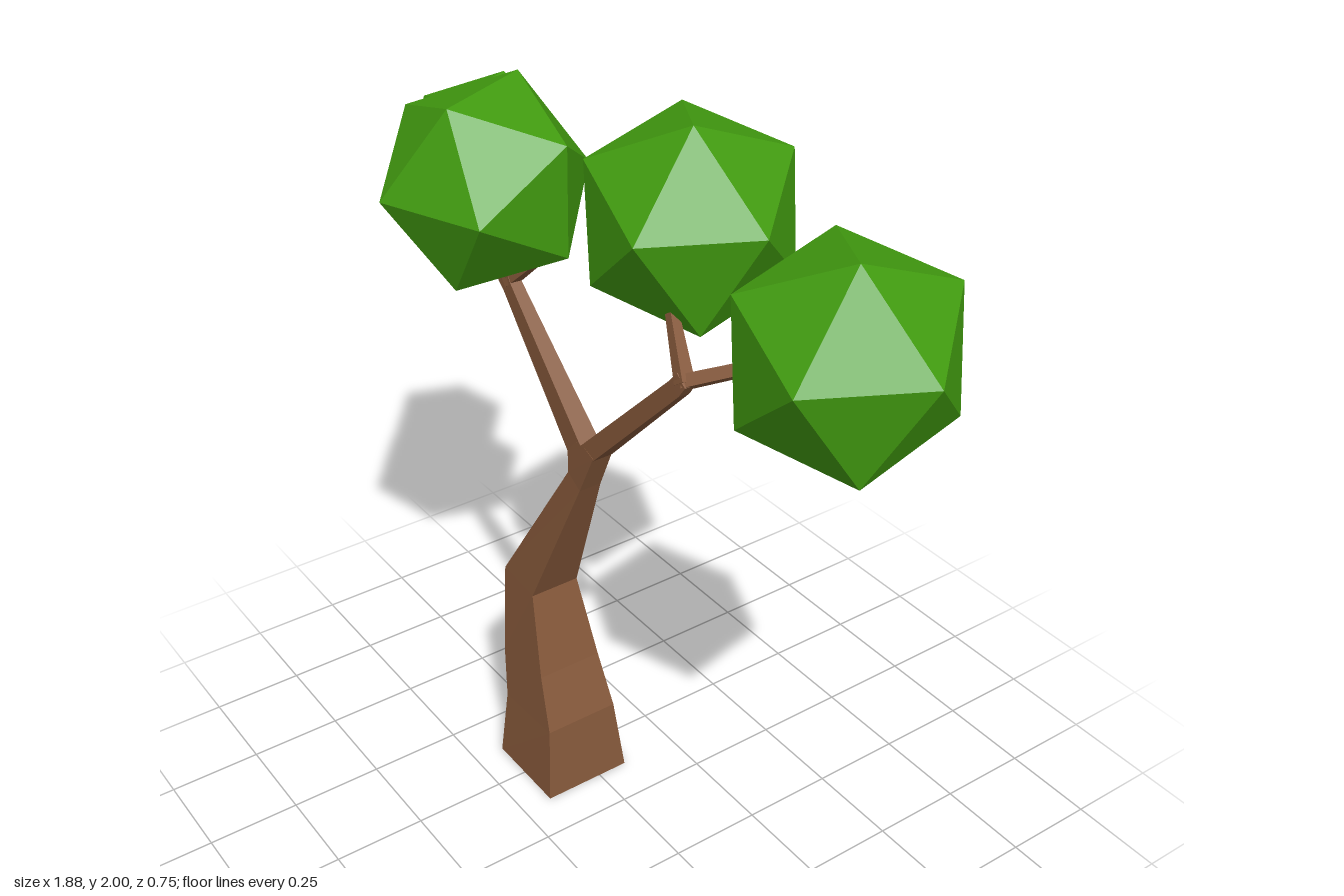
import * as THREE from 'three';

const bark = new THREE.MeshStandardMaterial({ color: 0x85583a, flatShading: true });
const leaf = new THREE.MeshStandardMaterial({ color: 0x429c10, flatShading: true });
const v = (p) => new THREE.Vector3(...p);

function add(group, name, geometry, material) {
  const mesh = new THREE.Mesh(geometry, material);
  mesh.name = name;
  group.add(mesh);
  return mesh;
}

// Four-sided loft; each section is [left x, left y, right x, right y, half depth, centre z]
function loft(sections) {
  const pos = [];
  const rings = sections.map(([xl, yl, xr, yr, h, z]) => [
    [xl, yl, z + h], [xr, yr, z + h], [xr, yr, z - h], [xl, yl, z - h],
  ]);
  const quad = (a, b, c, d) => pos.push(...a, ...b, ...c, ...a, ...c, ...d);
  for (let s = 0; s < rings.length - 1; s++) {
    for (let i = 0; i < 4; i++) {
      const j = (i + 1) % 4;
      quad(rings[s][i], rings[s][j], rings[s + 1][j], rings[s + 1][i]);
    }
  }
  const [a, b, c, d] = rings[0];
  quad(d, c, b, a);
  quad(...rings[rings.length - 1]);
  const geo = new THREE.BufferGeometry();
  geo.setAttribute('position', new THREE.Float32BufferAttribute(pos, 3));
  geo.computeVertexNormals();
  return geo;
}

// Tapered square twig between two points
function twig(group, name, from, to, r0, r1) {
  const a = v(from), dir = v(to).sub(a), len = dir.length();
  const geo = new THREE.CylinderGeometry(r1, r0, len, 4, 1).rotateY(Math.PI / 4).translate(0, len / 2, 0);
  const mesh = add(group, name, geo, bark);
  mesh.position.copy(a);
  mesh.quaternion.setFromUnitVectors(new THREE.Vector3(0, 1, 0), dir.normalize());
}

// Icosahedron turned so that two neighbouring corners point along a and b
function crown(group, name, centre, radius, a, b) {
  const y = v(a).normalize().add(v(b).normalize()).normalize();
  const x = v(b).normalize().sub(v(a).normalize()).normalize();
  const turn = new THREE.Matrix4().makeBasis(x, y, x.clone().cross(y));
  const mesh = add(group, name, new THREE.IcosahedronGeometry(radius, 0).applyMatrix4(turn), leaf);
  mesh.position.set(...centre);
}

export function createModel() {
  const tree = new THREE.Group();
  tree.name = 'tree';

  // Bent trunk up to the fork
  add(tree, 'trunk', loft([
    [-0.37, 0, -0.12, 0, 0.125, 0.04],
    [-0.36, 0.2, -0.145, 0.21, 0.105, 0.04],
    [-0.385, 0.34, -0.2, 0.36, 0.092, 0.04],
    [-0.4, 0.6, -0.265, 0.585, 0.07, 0.04],
    [-0.14, 1.03, -0.09, 1.0, 0.031, 0.04],
    [-0.145, 1.09, -0.035, 1.12, 0.028, 0.04],
    [-0.11, 1.13, -0.07, 1.132, 0.027, 0.04],
  ]), bark);

  // Main branches
  add(tree, 'rightBranch', loft([
    [-0.145, 1.085, -0.09, 1.13, 0.027, 0.04],
    [-0.43, 1.405, -0.395, 1.435, 0.016, 0.045],
    [-0.47, 1.435, -0.42, 1.465, 0.014, 0.045],
  ]), bark);
  add(tree, 'leftBranch', loft([
    [-0.09, 1.13, -0.035, 1.115, 0.027, 0.04],
    [0.235, 1.46, 0.27, 1.435, 0.016, 0.03],
    [0.26, 1.49, 0.29, 1.465, 0.014, 0.03],
  ]), bark);

  // Twigs into the crowns
  twig(tree, 'outerRightTwig', [-0.42, 1.44, 0.045], [-0.74, 1.56, 0.07], 0.022, 0.012);
  twig(tree, 'innerRightTwig', [-0.43, 1.43, 0.045], [-0.3, 1.54, 0.03], 0.025, 0.015);
  twig(tree, 'innerLeftTwig', [0.27, 1.465, 0.03], [0.18, 1.59, 0], 0.024, 0.016);
  twig(tree, 'outerLeftTwig', [0.265, 1.465, 0.03], [0.69, 1.69, -0.28], 0.022, 0.014);

  // Leaf crowns, one orientation per side
  const right = [[0.21, 0.135, -0.09], [0.205, -0.14, -0.09]];
  const left = [[0.08, 0.25, 0.06], [-0.16, 0.195, -0.09]];
  crown(tree, 'outerRightCrown', [-0.767, 1.617, -0.093], 0.207, ...right);
  crown(tree, 'innerRightCrown', [-0.395, 1.72, 0.115], 0.265, ...right);
  crown(tree, 'innerLeftCrown', [0.075, 1.743, -0.127], 0.272, ...left);
  crown(tree, 'outerLeftCrown', [0.673, 1.687, -0.067], 0.27, ...left);
  return tree;
}
